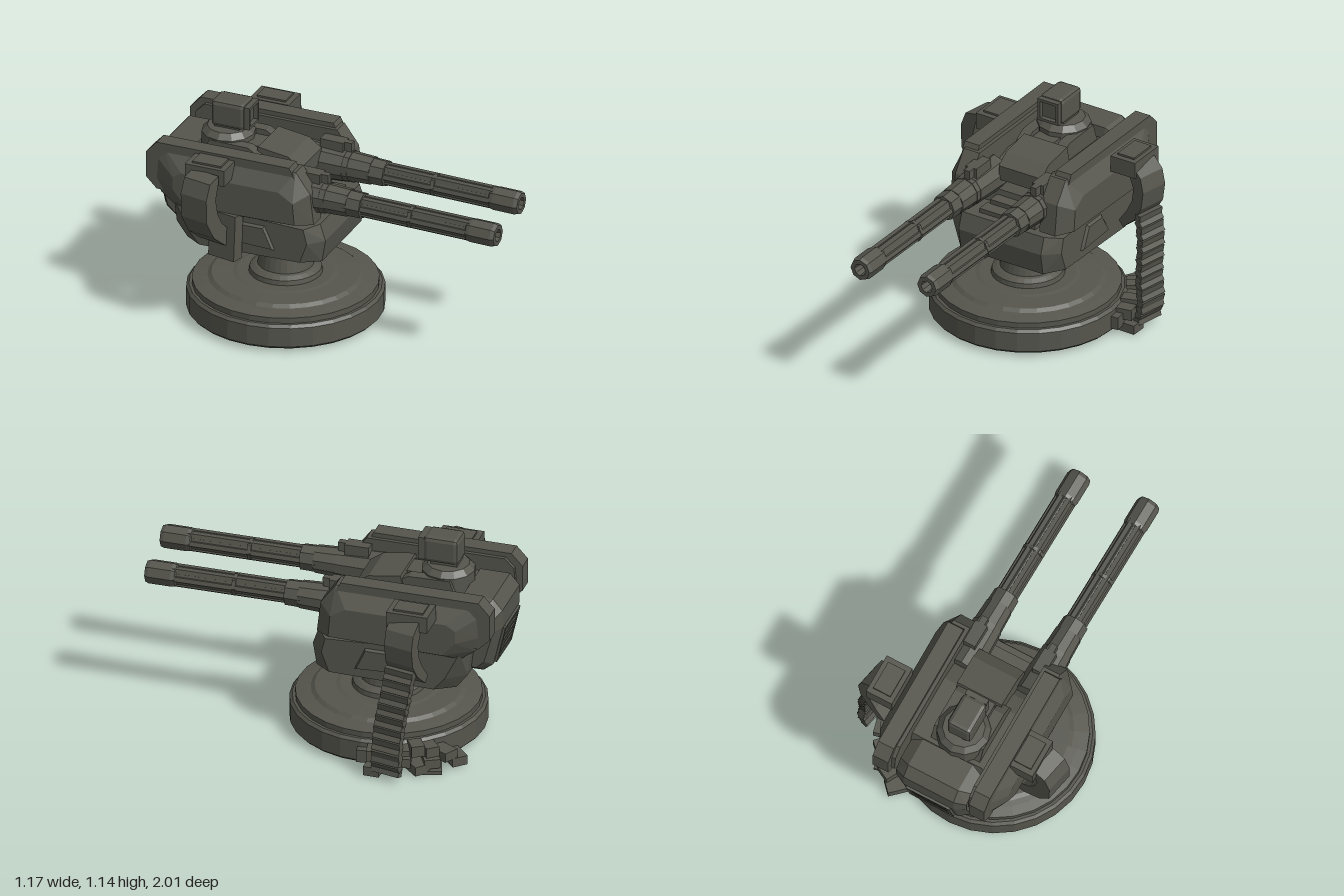
import * as THREE from 'three';
import { ConvexGeometry } from 'three/addons/geometries/ConvexGeometry.js';
import { RoundedBoxGeometry } from 'three/addons/geometries/RoundedBoxGeometry.js';

const V = (x, y, z) => new THREE.Vector3(x, y, z);

export function createModel() {
  const model = new THREE.Group();
  model.name = 'twinGunTurret';
  const gunmetal = new THREE.MeshStandardMaterial({ color: 0x55554d });
  gunmetal.name = 'gunmetal';

  // Faceted mesh helper
  function add(parent, name, geo, x = 0, y = 0, z = 0) {
    const g = geo.index ? geo.toNonIndexed() : geo;
    g.computeVertexNormals();
    const mesh = new THREE.Mesh(g, gunmetal);
    mesh.name = name;
    mesh.position.set(x, y, z);
    parent.add(mesh);
    return mesh;
  }
  const box = (p, name, w, h, d, x, y, z) => add(p, name, new THREE.BoxGeometry(w, h, d), x, y, z);
  const lathe = (pts, n) => new THREE.LatheGeometry(pts.map(([r, y]) => new THREE.Vector2(r, y)), n);
  const along = g => g.rotateX(Math.PI / 2);
  // Convex solid from [z, y] outlines standing at given x
  const slab = (...layers) => new ConvexGeometry(
    layers.flatMap(([x, outline]) => outline.map(([z, y]) => V(x, y, z))));

  // Round base with stepped top, column and flared collar
  add(model, 'base', lathe([[0, 0.02], [0.495, 0.02], [0.51, 0.035], [0.51, 0.14], [0.495, 0.155],
    [0.48, 0.155], [0.48, 0.185], [0.43, 0.195], [0.4, 0.2], [0.38, 0.215], [0.27, 0.22],
    [0.25, 0.225], [0.19, 0.225], [0.185, 0.25], [0.16, 0.265], [0.145, 0.27], [0.125, 0.37],
    [0.15, 0.37], [0.2, 0.41], [0.2, 0.43], [0, 0.43]], 28), -0.015, 0, -0.3);

  const turret = new THREE.Group();
  turret.name = 'turret';
  turret.position.set(0.02, 0, -0.3);
  turret.rotation.y = 0.205;
  model.add(turret);

  // Lower hull with tapered, chamfered sides
  const hullMid = [[0.29, 0.43], [0.31, 0.55], [0.28, 0.64], [-0.54, 0.66], [-0.52, 0.5], [-0.46, 0.42]];
  const hullSide = [[0.2, 0.44], [0.24, 0.55], [0.22, 0.63], [-0.5, 0.66], [-0.42, 0.5], [-0.36, 0.43]];
  add(turret, 'lowerHull', slab([-0.25, hullMid], [0.25, hullMid], [-0.33, hullSide], [0.33, hullSide]));
  // Inner body, sunk between the side armour
  add(turret, 'innerBody', slab(...[-0.23, 0.23].map(x =>
    [x, [[0.12, 0.6], [0.1, 0.72], [0.0, 0.82], [-0.1, 0.85], [-0.44, 0.85], [-0.5, 0.6]]])));
  box(turret, 'deckStep', 0.34, 0.03, 0.08, 0, 0.65, 0.2);
  box(turret, 'deckStep', 0.3, 0.06, 0.08, 0, 0.66, 0.13);
  add(turret, 'breechCover', slab(...[-0.13, 0.13].map(x =>
    [x, [[0.12, 0.79], [0.12, 0.87], [0.05, 0.92], [-0.12, 0.945], [-0.15, 0.82]]])));

  // Ribs flanking the sensor, sloping to the front
  const rib = [[-0.08, 0.84], [-0.1, 0.91], [-0.16, 0.945], [-0.38, 0.95], [-0.42, 0.84]];
  for (const x of [-0.165, 0.06]) add(turret, 'deckRib', slab([x, rib], [x + 0.06, rib]));

  // Side armour, top rails and lower cheek plates
  const armour = [[0.27, 0.66], [0.25, 0.83], [0.17, 0.94], [-0.57, 0.94], [-0.62, 0.89],
    [-0.63, 0.77], [-0.58, 0.68], [-0.5, 0.62]];
  const armourOuter = [[0.19, 0.67], [0.18, 0.79], [0.1, 0.84], [-0.44, 0.84], [-0.49, 0.81],
    [-0.49, 0.74], [-0.42, 0.66]];
  const rail = [[0.18, 0.88], [0.14, 0.965], [-0.6, 0.965], [-0.66, 0.9], [-0.66, 0.76], [-0.6, 0.7], [-0.55, 0.7]];
  const cheek = [[0.1, 0.46], [0.02, 0.64], [-0.16, 0.64], [-0.24, 0.47]];
  const cheekOuter = [[0.05, 0.49], [0, 0.6], [-0.12, 0.6], [-0.18, 0.5]];
  for (const s of [-1, 1]) {
    add(turret, 'sideArmour', slab([s * 0.215, armour], [s * 0.31, armour], [s * 0.375, armourOuter]));
    add(turret, 'topRail', slab([s * 0.235, rail], [s * 0.325, rail]));
    add(turret, 'cheekPlate', slab([s * 0.28, cheek], [s * 0.345, cheekOuter]));
    const x = s * 0.41 + 0.03;
    box(turret, 'armBracket', 0.15, 0.09, 0.22, x, 0.9, -0.275);
    box(turret, 'bracketCap', 0.1, 0.02, 0.16, x, 0.945, -0.275);
  }

  // Rear pack with bevelled sides and a slatted panel
  const pack = [[-0.46, 0.9], [-0.62, 0.9], [-0.67, 0.84], [-0.67, 0.74], [-0.62, 0.52], [-0.57, 0.48], [-0.4, 0.48]];
  const packSide = [[-0.48, 0.86], [-0.59, 0.86], [-0.64, 0.81], [-0.64, 0.74], [-0.59, 0.56], [-0.55, 0.52], [-0.42, 0.52]];
  add(turret, 'rearPack', slab([-0.15, pack], [0.14, pack], [-0.21, packSide], [0.2, packSide]));
  const grille = new THREE.Group();
  grille.name = 'rearGrille';
  grille.position.set(-0.005, 0.63, -0.647);
  grille.rotation.x = -0.223;
  turret.add(grille);
  for (let i = -2; i <= 2; i++) box(grille, 'grilleBar', 0.2, 0.018, 0.016, 0, i * 0.035, 0);
  for (const s of [-1, 1]) {
    box(grille, 'grillePost', 0.025, 0.21, 0.022, s * 0.115, 0, 0);
    box(grille, 'grilleFrame', 0.21, 0.018, 0.022, 0, s * 0.097, 0);
  }

  // Sensor head on a low ring
  add(turret, 'sensorRing', lathe([[0, 0.84], [0.14, 0.84], [0.14, 0.955], [0.11, 0.985], [0, 0.99]], 12), -0.025, 0, -0.33);
  box(turret, 'sensorStep', 0.13, 0.1, 0.14, -0.03, 0.88, -0.18);
  box(turret, 'sensorNeck', 0.1, 0.04, 0.14, -0.025, 0.995, -0.32);
  add(turret, 'sensorHead', new RoundedBoxGeometry(0.14, 0.145, 0.19, 1, 0.022), -0.03, 1.07, -0.305);
  for (const s of [-1, 1]) {
    box(turret, 'sensorHood', 0.015, 0.125, 0.03, -0.03 + s * 0.055, 1.07, -0.2);
    box(turret, 'sensorHood', 0.11, 0.015, 0.03, -0.03, 1.07 + s * 0.055, -0.2);
  }

  // Twin guns, each built with its muzzle at the local origin
  function gun(x, z) {
    const g = new THREE.Group();
    g.name = 'gun';
    g.position.set(x, 0.765, z);
    g.rotation.set(0.014, 0.185, 0, 'YXZ');
    const tube = (name, r0, r1, len, end, n = 8) =>
      add(g, name, along(new THREE.CylinderGeometry(r1, r0, len, n)), 0, 0, end - len / 2);
    add(g, 'muzzle', along(lathe([[0.045, -0.17], [0.06, -0.16], [0.065, -0.14], [0.065, -0.02],
      [0.058, 0], [0.034, 0], [0.028, -0.06], [0, -0.06]], 8)));
    tube('barrelCore', 0.05, 0.05, 0.72, -0.1);
    for (let i = 0; i < 6; i++) {
      const a = i * Math.PI / 3;
      add(g, 'barrelRod', along(new THREE.CylinderGeometry(0.02, 0.02, 0.7, 5)),
        0.041 * Math.cos(a), 0.041 * Math.sin(a), -0.48);
    }
    tube('barrelBand', 0.061, 0.061, 0.02, -0.47);
    tube('barrelCollar', 0.072, 0.07, 0.09, -0.755);
    tube('sleeve', 0.08, 0.074, 0.14, -0.83, 10);
    tube('sleeveRing', 0.083, 0.083, 0.03, -0.95, 10);
    tube('trunnion', 0.095, 0.085, 0.24, -0.98, 10);
    box(g, 'sightBlock', 0.07, 0.06, 0.13, 0.01, 0.1, -1.06);
    box(g, 'sightLug', 0.035, 0.05, 0.05, 0.01, 0.105, -0.98);
    model.add(g);
  }
  gun(0.052, 0.985);
  gun(0.418, 0.87);

  // Curved feed chutes on both sides
  function chute(name, outline, depth, z) {
    const shape = new THREE.Shape(outline.map(([x, y]) => new THREE.Vector2(x, y)));
    add(model, name, new THREE.ExtrudeGeometry(shape, { depth, bevelEnabled: false }), 0, 0, z);
  }
  chute('rightChute', [[-0.48, 0.92], [-0.555, 0.9], [-0.588, 0.82], [-0.585, 0.69], [-0.52, 0.58], [-0.42, 0.5],
    [-0.36, 0.48], [-0.36, 0.58], [-0.41, 0.6], [-0.45, 0.64], [-0.485, 0.7], [-0.505, 0.79], [-0.48, 0.88]], 0.16, -0.55);
  chute('leftChute', [[0.38, 0.93], [0.46, 0.91], [0.515, 0.86], [0.535, 0.78], [0.52, 0.68], [0.47, 0.6], [0.39, 0.53],
    [0.36, 0.56], [0.42, 0.64], [0.455, 0.71], [0.465, 0.78], [0.44, 0.84], [0.38, 0.86]], 0.16, -0.74);
  box(model, 'chuteMount', 0.07, 0.25, 0.16, -0.375, 0.54, -0.42).rotation.z = -0.06;

  // Hanging ammunition belt of alternating links
  const belt = new THREE.CatmullRomCurve3([V(0.5, 0.62, -0.655), V(0.525, 0.5, -0.645), V(0.545, 0.3, -0.615),
    V(0.56, 0.15, -0.61), V(0.545, 0.06, -0.6)]);
  const links = 17;
  for (let i = 0; i <= links; i++) {
    const p = belt.getPointAt(i / links), t = belt.getTangentAt(i / links);
    const link = box(model, 'beltLink', 0.038, 0.042, 0.16, p.x, p.y, p.z);
    link.rotation.z = Math.atan2(-t.x, t.y) + (i % 2 ? 0.45 : -0.3);
  }
  // Belt pile lying against the rear edge of the base
  for (let i = 0; i < 7; i++) {
    const a = 1.95 + i * 0.13;
    const x = -0.015 + 0.56 * Math.sin(a), z = -0.3 + 0.56 * Math.cos(a);
    const pad = box(model, 'beltPile', 0.085, 0.05, 0.12, x, 0.035 + (i % 3) * 0.025, z);
    pad.rotation.set(0, a + (i % 2 ? 0.25 : -0.2), 0);
    if (i < 5) box(model, 'beltPileTop', 0.07, 0.06, 0.09, x - 0.01, 0.11 + (i % 2) * 0.02, z + 0.01).rotation.y = a;
  }
  box(model, 'baseSocket', 0.04, 0.07, 0.16, 0.48, 0.08, -0.48).rotation.y = 0.3;
  box(model, 'baseSocket', 0.24, 0.02, 0.1, 0.28, 0.012, -0.72).rotation.y = 0.5;

  return model;
}
